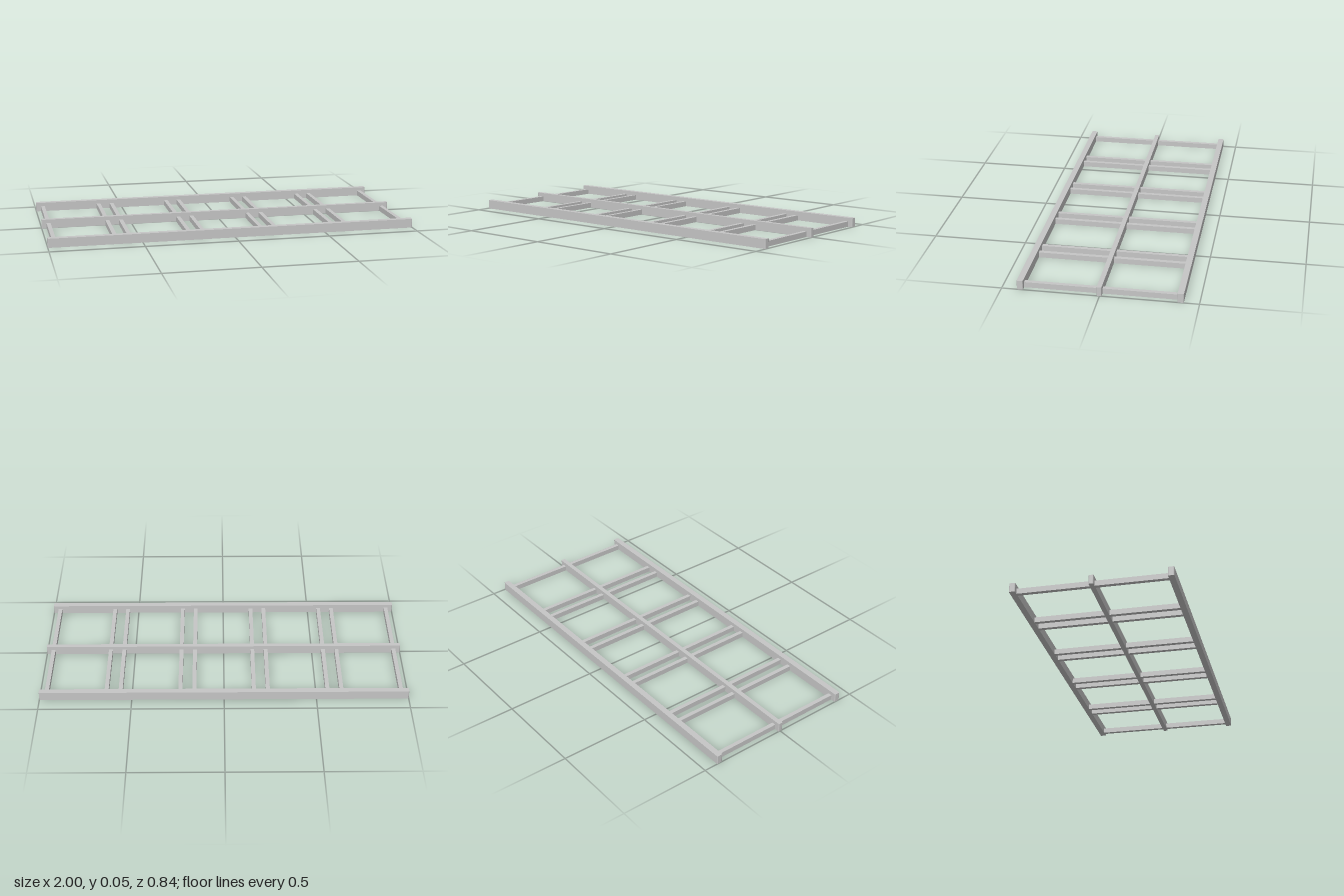
import * as THREE from 'three';

const grey = new THREE.MeshStandardMaterial({ color: 0xc6c6c6 });
grey.name = 'light grey metal';

// Long rail: a plan outline with softened corners, raised to its height
function railGeometry(length, height, width, r) {
  const x = length / 2, z = width / 2;
  const s = new THREE.Shape();
  s.moveTo(-x + r, -z);
  s.lineTo(x - r, -z);
  s.absarc(x - r, -z + r, r, -Math.PI / 2, 0);
  s.absarc(x - r, z - r, r, 0, Math.PI / 2);
  s.absarc(-x + r, z - r, r, Math.PI / 2, Math.PI);
  s.absarc(-x + r, -z + r, r, Math.PI, Math.PI * 1.5);
  const g = new THREE.ExtrudeGeometry(s, { depth: height, bevelEnabled: false, curveSegments: 4 });
  return g.rotateX(-Math.PI / 2);
}

export function createModel() {
  const model = new THREE.Group();
  model.name = 'rackFrame';

  const add = (name, geometry, x, y, z) => {
    const mesh = new THREE.Mesh(geometry, grey);
    mesh.name = name;
    mesh.position.set(x, y, z);
    model.add(mesh);
  };

  // Three rails running the full length
  const outer = railGeometry(2, 0.049, 0.032, 0.005);
  add('frontRail', outer, 0, 0, 0.406);
  add('middleRail', railGeometry(2, 0.049, 0.025, 0.005), 0, 0, 0.002);
  add('backRail', outer, 0, 0, -0.406);

  // Five bays, each with a pair of low crossbars on both sides of the middle rail
  const bar = new THREE.BoxGeometry(0.022, 0.029, 0.382);
  for (let bay = -2; bay <= 2; bay++) {
    for (const end of [-1, 1]) {
      for (const side of [-1, 1]) {
        add('crossbar', bar, bay * 0.4 + end * 0.162, 0.0145, side * 0.202);
      }
    }
  }
  return model;
}
